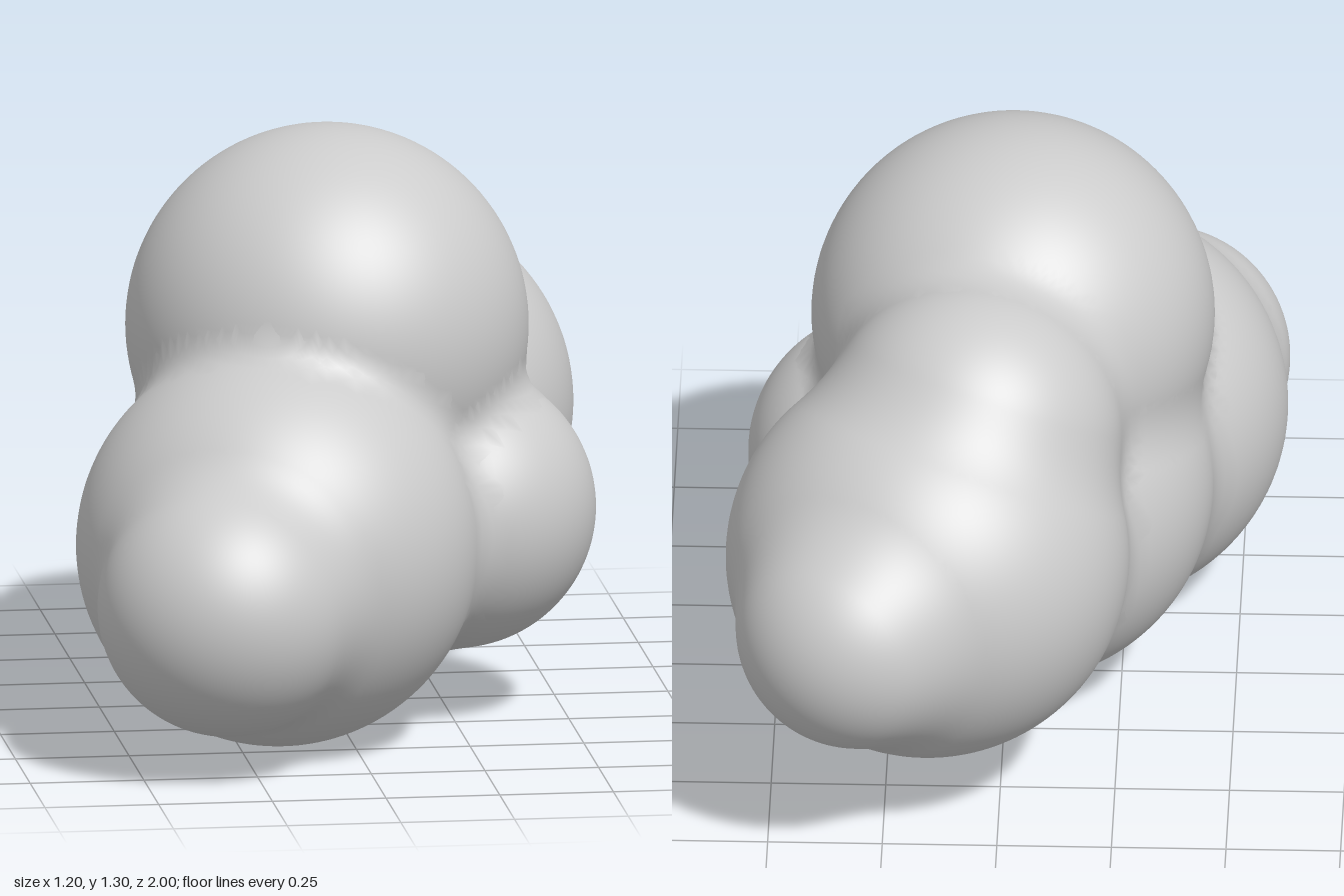
import * as THREE from 'three';

// Puffs of the cloud: name, centre x, y, z, radius
const PUFFS = [
  ['topPuff', -0.01, 0.86, 0.08, 0.44],
  ['frontPuff', -0.16, 0.44, 0.40, 0.44],
  ['frontTipPuff', -0.31, 0.375, 0.715, 0.285],
  ['sidePuff', 0.26, 0.46, 0.15, 0.31],
  ['middlePuff', -0.01, 0.485, -0.01, 0.44],
  ['backPuff', 0.16, 0.565, -0.47, 0.44],
  ['backTopPuff', 0.065, 0.825, -0.345, 0.325],
  ['backTipPuff', 0.305, 0.54, -0.735, 0.265],
].map(([name, x, y, z, radius]) => ({ name, centre: new THREE.Vector3(x, y, z), radius }));

const BLEND = 0.06;     // softness of the creases
const MAX_PUSH = 0.08;  // how far a crease may be filled

// Distance to the softly merged puffs
function cloudDistance(p) {
  let d = Infinity;
  for (const { centre, radius } of PUFFS) {
    const e = p.distanceTo(centre) - radius;
    const h = Math.max(BLEND - Math.abs(d - e), 0) / BLEND;
    d = Math.min(d, e) - h * h * BLEND / 4;
  }
  return d;
}

// Surface normal from the slope of the distance
function cloudNormal(p) {
  const step = 0.002;
  const slope = (axis) => {
    const a = p.clone(), b = p.clone();
    a[axis] += step;
    b[axis] -= step;
    return cloudDistance(a) - cloudDistance(b);
  };
  return new THREE.Vector3(slope('x'), slope('y'), slope('z')).normalize();
}

// A sphere whose surface swells outward to fill the creases with its neighbours
function puffGeometry({ centre, radius }) {
  const geometry = new THREE.SphereGeometry(radius, 96, 64);
  const { position, normal } = geometry.attributes;
  const p = new THREE.Vector3(), dir = new THREE.Vector3();
  for (let i = 0; i < position.count; i++) {
    dir.fromBufferAttribute(position, i).normalize();
    let push = 0;
    for (let n = 0; n < 16; n++) {
      const d = cloudDistance(p.copy(centre).addScaledVector(dir, radius + push));
      if (d > -1e-4 || push >= MAX_PUSH) break;
      push = Math.min(push - d, MAX_PUSH);
    }
    p.copy(centre).addScaledVector(dir, radius + push);
    const n = cloudNormal(p);
    normal.setXYZ(i, n.x, n.y, n.z);
    p.sub(centre);
    position.setXYZ(i, p.x, p.y, p.z);
  }
  return geometry;
}

export function createModel() {
  const cloud = new THREE.Group();
  cloud.name = 'cloud';
  const material = new THREE.MeshStandardMaterial({ color: 0xcccccc });
  for (const puff of PUFFS) {
    const mesh = new THREE.Mesh(puffGeometry(puff), material);
    mesh.name = puff.name;
    mesh.position.copy(puff.centre);
    cloud.add(mesh);
  }
  return cloud;
}
